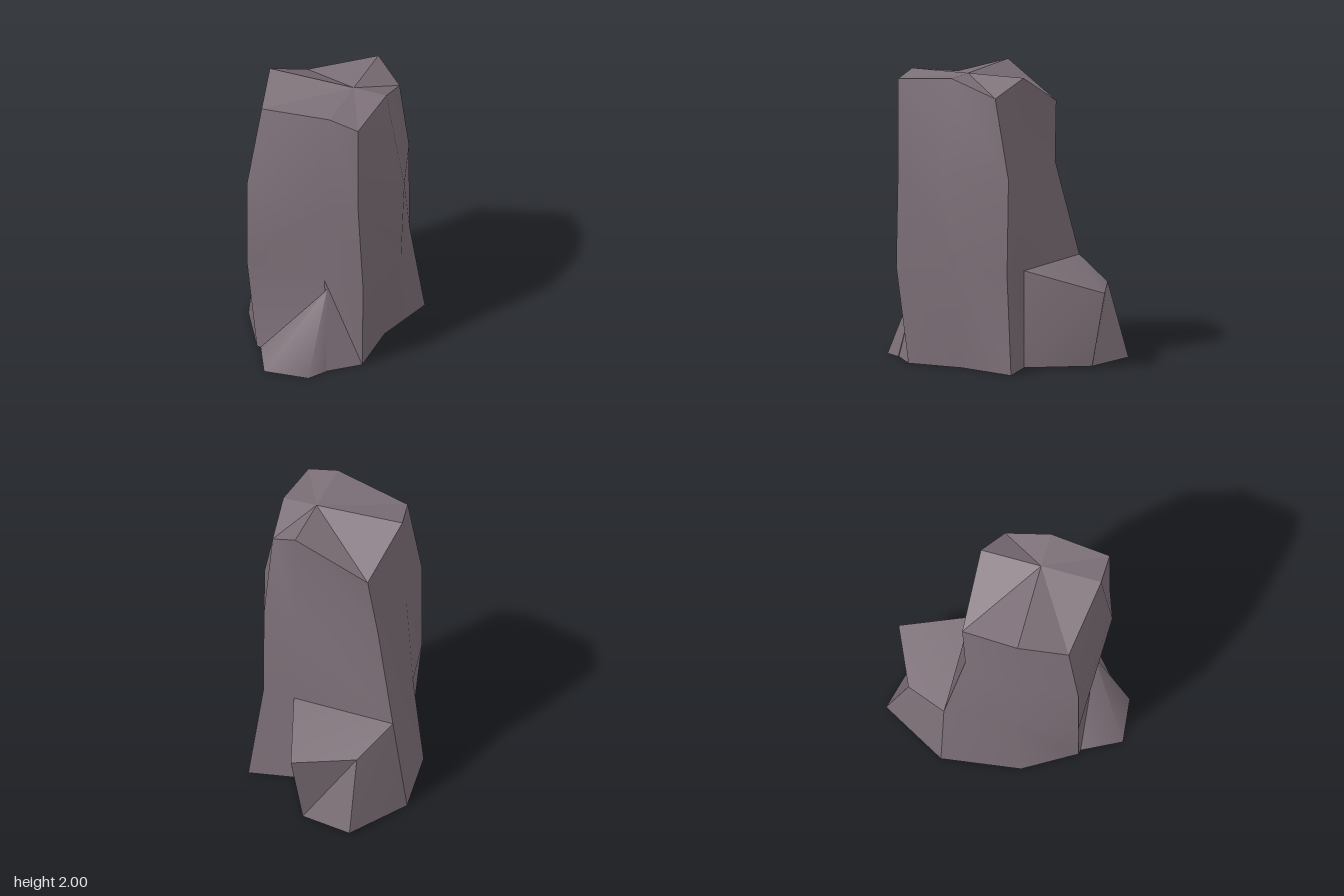
import * as THREE from 'three';
import { toCreasedNormals } from 'three/addons/utils/BufferGeometryUtils.js';
import { ConvexGeometry } from 'three/addons/geometries/ConvexGeometry.js';

const v = (p) => new THREE.Vector3(...p);

// Upright edges of the column, from the front corner round by +x; each runs base to top
const EDGES = [
  [[0.02, 0, 0.70], [0, 0.67, 0.78], [-0.03, 1.33, 0.76], [-0.03, 1.96, 0.76]], // front
  [[0.28, 0, 0.39], [0.38, 0.67, 0.45], [0.36, 1.33, 0.58], [0.27, 2, 0.46]],
  [[0.65, 0, 0.14], [0.54, 0.67, 0.14], [0.54, 1.33, 0.13], [0.45, 1.88, 0.20]], // +x side
  [[0.38, 0, -0.02], [0.38, 0.67, -0.02], [0.37, 1.33, -0.03], [0.37, 2, -0.02]],
  [[-0.22, 0, -0.60], [-0.14, 0.67, -0.54], [-0.10, 1.33, -0.36], [-0.03, 1.76, -0.35]], // back
  [[-0.52, 0, -0.14], [-0.45, 0.67, -0.12], [-0.41, 1.33, -0.10], [-0.38, 2, -0.10]],
  [[-0.59, 0, 0.26], [-0.65, 0.67, 0.23], [-0.65, 1.33, 0.23], [-0.54, 1.90, 0.21]], // -x side
  [[-0.24, 0, 0.70], [-0.20, 0.64, 0.55], [-0.24, 1.33, 0.68], [-0.19, 2, 0.62]],
];

// A quad, split from its first corner to its third
const quad = (a, b, c, d) => [a, b, c, a, c, d];

const solid = (corners, crease) =>
  toCreasedNormals(new THREE.BufferGeometry().setFromPoints(corners.map(v)), crease);

// Calls back with each edge and the one after it
const around = (build) => EDGES.flatMap((edge, i) => build(edge, EDGES[(i + 1) % EDGES.length], i));

// Walls and base; the wall by the spur is split the other way to stay flat
function columnGeometry() {
  const corners = around((edge, next, i) => [
    ...[0, 1, 2].flatMap((l) => (i === 6
      ? quad(edge[l], next[l], next[l + 1], edge[l + 1])
      : quad(next[l], next[l + 1], edge[l + 1], edge[l]))),
    next[0], edge[0], [0, 0, 0.05],
  ]);
  return solid(corners, 0.65);
}

// Low block stepping out at the back
function ledgeGeometry() {
  const [inner, innerTop] = EDGES[3];
  const [back, backTop] = EDGES[4];
  const p = [0.17, 0.53, -0.66], q = [0.60, 0.53, -0.53];
  const low = [0.27, 0.02, -0.78], side = [0.49, 0.01, -0.47];
  return solid([
    ...quad(q, p, backTop, innerTop),
    ...quad(inner, side, q, innerTop),
    ...quad(side, low, p, q),
    ...quad(low, back, backTop, p),
    ...quad(inner, back, low, side),
  ], 0.5);
}

export function createModel() {
  const group = new THREE.Group();
  group.name = 'rockPillar';
  const stone = new THREE.MeshStandardMaterial({ color: 0x7d7078 });
  const add = (name, geometry) => {
    const mesh = new THREE.Mesh(geometry, stone);
    mesh.name = name;
    group.add(mesh);
  };

  add('rockColumn', columnGeometry());
  // Faceted top, falling away at the back
  add('rockTop', solid(around((edge, next) => [edge[3], next[3], [0.09, 2, 0.30]]), 0.15));
  add('backLedge', ledgeGeometry());

  // Pointed spur leaning against the front
  const spur = new ConvexGeometry([
    [-0.19, 0.58, 0.57], [-0.64, 0, 0.57], [-0.38, 0, 0.745], [-0.24, 0, 0.705], [-0.57, 0, 0.28],
  ].map(v));
  add('frontSpur', toCreasedNormals(spur, 1.2));

  return group;
}
